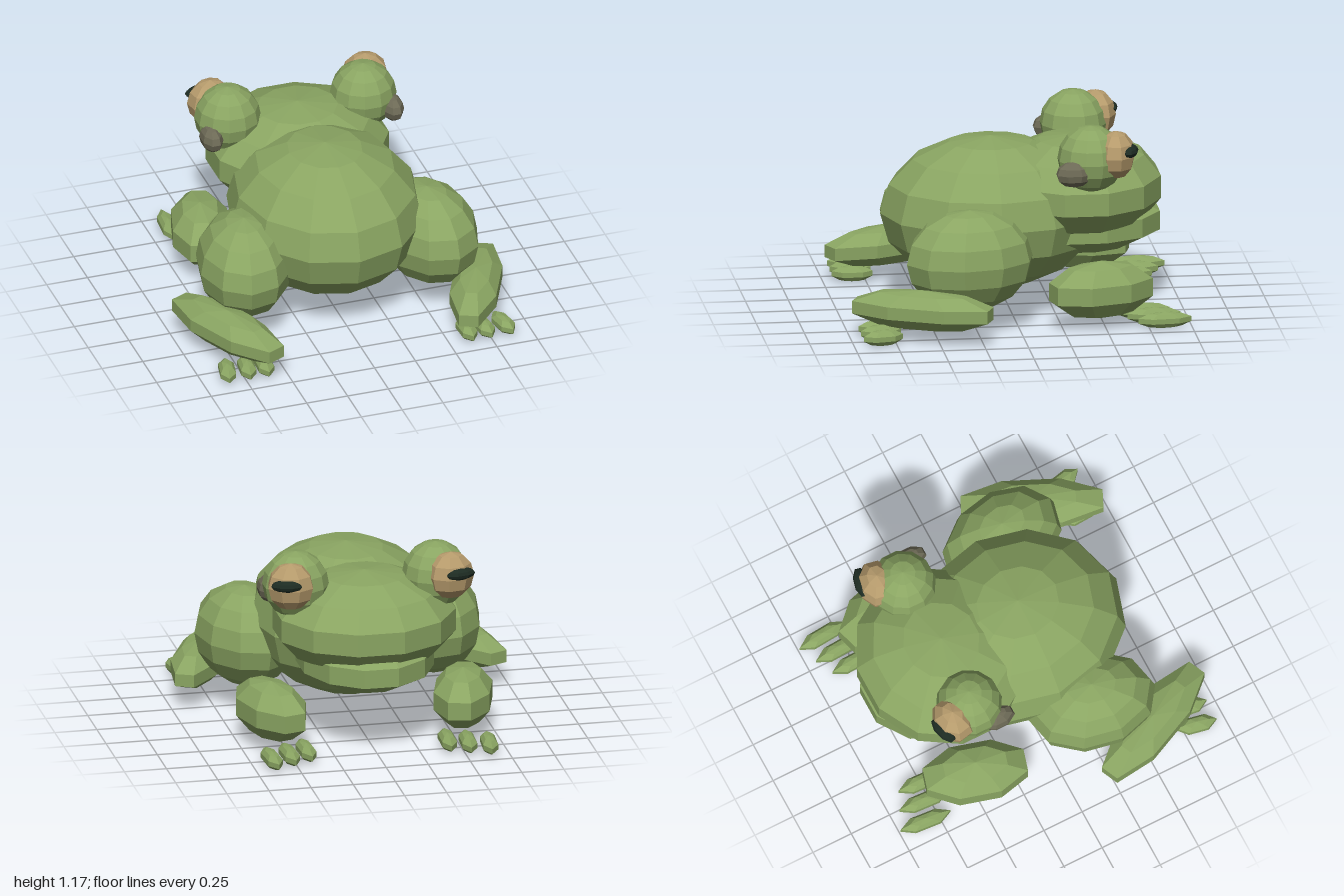
import * as THREE from 'three';

const mat = (name, color) => {
  const m = new THREE.MeshStandardMaterial({ color });
  m.name = name;
  return m;
};

// Faceted unit sphere; 'half' turns it so a flat face, not an edge, points along each axis
function facetedSphere(sides, rings, half) {
  let g = new THREE.SphereGeometry(1, sides, rings);
  if (half) g.rotateY(Math.PI / sides);
  g = g.toNonIndexed();
  g.computeVertexNormals();
  return g;
}

export function createModel() {
  const green = mat('skinGreen', 0x8aa562);
  const tan = mat('eyeTan', 0xb69b6c);
  const grey = mat('eardrumGrey', 0x6d6a56);
  const dark = mat('pupilDark', 0x1d2b22);

  const root = new THREE.Group();
  root.name = 'frog';

  const round = facetedSphere(12, 8, false);
  const roundHalf = facetedSphere(12, 8, true);
  const headShape = facetedSphere(12, 7, true);
  const jawShape = facetedSphere(12, 5, true);
  const limb = facetedSphere(8, 5, true);
  const thighShape = facetedSphere(10, 8, true);
  const small = facetedSphere(8, 6, true);
  const toeShape = facetedSphere(6, 5, true);

  function part(name, geometry, material, pos, size, yaw = 0, parent = root) {
    const m = new THREE.Mesh(geometry, material);
    m.name = name;
    m.position.set(...pos);
    m.scale.set(...size);
    m.rotation.y = yaw;
    parent.add(m);
    return m;
  }

  // Trunk, head and lower jaw; the head points to -z
  part('body', round, green, [0, 0.577, 0.1], [0.57, 0.448, 0.645]);
  part('head', headShape, green, [0, 0.72, -0.4], [0.55, 0.3, 0.51]);
  part('lowerJaw', jawShape, green, [0, 0.51, -0.41], [0.42, 0.18, 0.51]);

  for (const [side, s] of [['left', 1], ['right', -1]]) {
    const group = new THREE.Group();
    group.name = side + 'Side';
    root.add(group);
    const add = (name, geometry, material, [x, y, z], size, yaw = 0) =>
      part(side + name, geometry, material, [x * s, y, z], size, yaw * s, group);

    // Eye, pupil and eardrum
    add('EyeMount', roundHalf, green, [0.415, 0.975, -0.435], [0.195, 0.2, 0.195]);
    add('Eyeball', small, tan, [0.475, 1.01, -0.575], [0.14, 0.142, 0.115], -0.2);
    add('Pupil', small, dark, [0.515, 1.04, -0.655], [0.095, 0.036, 0.045], -0.25);
    add('Eardrum', small, grey, [0.553, 0.92, -0.32], [0.066, 0.077, 0.108]);

    // Hind leg
    add('Thigh', thighShape, green, [0.56, 0.43, 0.29], [0.28, 0.298, 0.385], 0.2);
    add('Shin', limb, green, [0.76, 0.19, 0.59], [0.155, 0.12, 0.47], -0.43);

    // Foreleg
    add('Foreleg', limb, green, [0.57, 0.23, -0.475], [0.185, 0.172, 0.34], 0.28);

    // Toes: x, z, half length, yaw
    const hindToes = [[0.845, 0.83, 0.2], [0.725, 0.83, 0.12], [0.62, 0.83, 0.05]];
    hindToes.forEach(([x, z, yaw], i) =>
      add('HindToe' + (i + 1), toeShape, green, [x, 0.055, z], [0.055, 0.048, 0.125], yaw));
    const foreToes = [[0.645, -0.84, 0.08], [0.53, -0.79, 0.06], [0.42, -0.74, 0.04]];
    foreToes.forEach(([x, z, yaw], i) =>
      add('ForeToe' + (i + 1), toeShape, green, [x, 0.055, z], [0.053, 0.048, 0.165], yaw));
  }
  return root;
}
